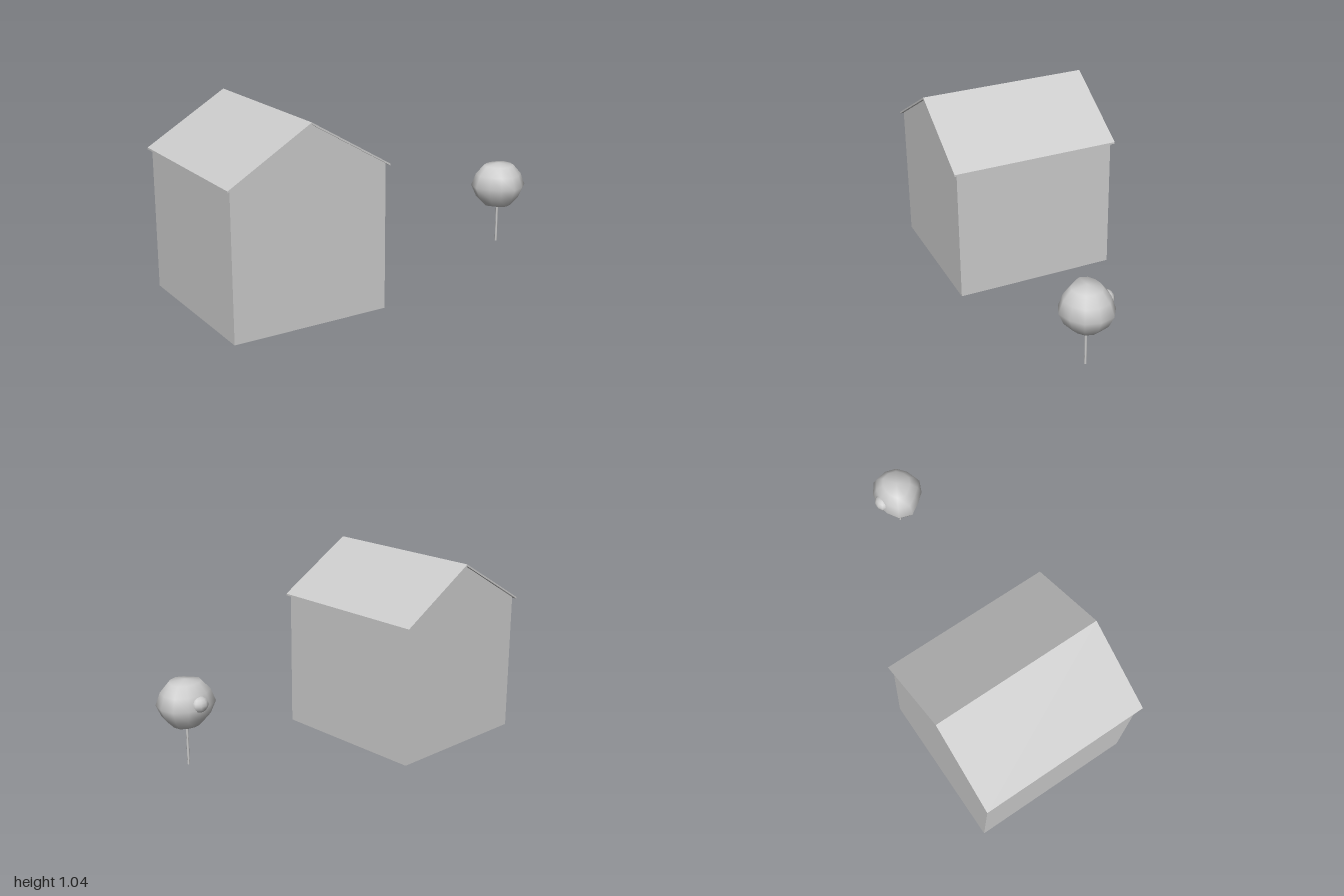
import * as THREE from 'three';
import { mergeVertices } from 'three/addons/utils/BufferGeometryUtils.js';

const solid = new THREE.MeshStandardMaterial({ color: 0xcccccc });
const thin = new THREE.MeshStandardMaterial({ color: 0xcccccc, side: THREE.DoubleSide });

function add(parent, name, geometry, material, x = 0, y = 0, z = 0) {
  const mesh = new THREE.Mesh(geometry, material);
  mesh.name = name;
  mesh.position.set(x, y, z);
  parent.add(mesh);
  return mesh;
}

const polygon = (points) => new THREE.Shape(points.map(([x, y]) => new THREE.Vector2(x, y)));

// House: four thin walls open at the bottom, under a thin folded roof
function createHouse() {
  const house = new THREE.Group();
  house.name = 'house';
  const half = 0.43, eave = 0.778, apex = 1.03, depth = 0.915;

  const gable = new THREE.ShapeGeometry(
    polygon([[-half, 0], [half, 0], [half, eave], [0, apex], [-half, eave]]));
  const sideWall = new THREE.PlaneGeometry(depth, eave);
  for (const s of [1, -1]) {
    const end = add(house, s > 0 ? 'frontGableWall' : 'backGableWall', gable, thin, 0, 0, s * depth / 2);
    if (s < 0) end.rotation.y = Math.PI;
    const side = add(house, s > 0 ? 'leftWall' : 'rightWall', sideWall, thin, s * half, eave / 2, 0);
    side.rotation.y = s * Math.PI / 2;
  }

  // Roof sheet with a small overhang on every side
  const roof = new THREE.ExtrudeGeometry(
    polygon([[-0.448, 0.764], [0, 1.03], [0.448, 0.764], [0.448, 0.774], [0, 1.04], [-0.448, 0.774]]),
    { depth: 0.95, bevelEnabled: false });
  add(house, 'roof', roof, thin, 0, 0, -0.475);

  house.position.set(-0.552, 0, 0);
  return house;
}

// Uneven leaf crown: a turned profile whose radius varies around the axis
function crownGeometry() {
  const profile = [[0, -0.127], [0.077, -0.111], [0.122, -0.062], [0.15, 0.003],
    [0.126, 0.068], [0.083, 0.119], [0, 0.132]];
  const around = [1.03, 1.02, 0.97, 1.0, 0.92, 0.88, 1.05, 1.02, 0.9, 0.88, 0.94, 1.05];
  let g = new THREE.LatheGeometry(profile.map(([r, y]) => new THREE.Vector2(r, y)), 12);
  const p = g.attributes.position;
  for (let i = 0; i < p.count; i++) {
    const x = p.getX(i), z = p.getZ(i);
    const step = Math.round(Math.atan2(z, x) / (Math.PI / 6));
    const k = around[(step + 12) % 12];
    p.setXYZ(i, x * k, p.getY(i), z * k);
  }
  g.deleteAttribute('normal');
  g.deleteAttribute('uv');
  g = mergeVertices(g, 1e-5);
  g.computeVertexNormals();
  return g;
}

function createTree() {
  const tree = new THREE.Group();
  tree.name = 'tree';
  add(tree, 'trunk', new THREE.CylinderGeometry(0.0065, 0.0065, 0.235, 8), solid, 0, 0.2225, 0);
  add(tree, 'crown', crownGeometry(), solid, 0, 0.44, 0);
  // Small clump of leaves bulging from the back
  const clump = add(tree, 'leafClump', new THREE.SphereGeometry(0.045, 10, 8), solid, -0.005, 0.462, -0.105);
  clump.scale.set(1.1, 0.95, 0.95);
  tree.position.set(0.843, 0, 0.175);
  return tree;
}

export function createModel() {
  const model = new THREE.Group();
  model.name = 'houseAndTree';
  model.add(createHouse(), createTree());
  return model;
}
